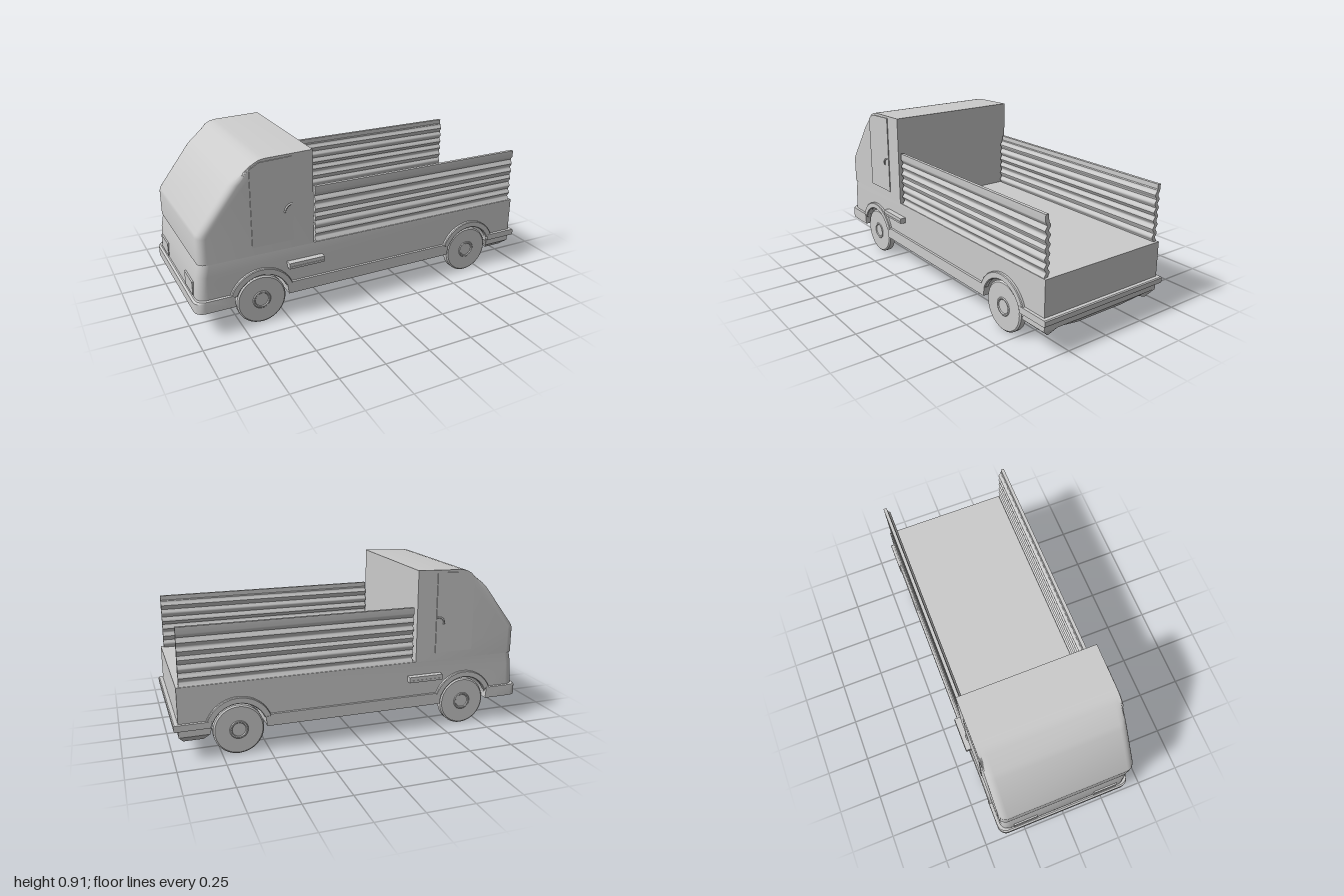
import * as THREE from 'three';
import { toCreasedNormals } from 'three/addons/utils/BufferGeometryUtils.js';

const mat = new THREE.MeshStandardMaterial({ color: 0xcccccc });
const WHEELS = [-0.64, 0.66], AXLE_Y = 0.137, ARCH = 0.15;

function add(parent, name, geo, x = 0, y = 0, z = 0) {
  const m = new THREE.Mesh(geo, mat);
  m.name = name;
  m.position.set(x, y, z);
  parent.add(m);
  return m;
}

const poly = (pts) => new THREE.Shape(pts.map(([x, y]) => new THREE.Vector2(x, y)));
const box = (w, h, d) => new THREE.BoxGeometry(w, h, d);

// Side profile swept across the width; corners ahead of noseX are rounded in plan
function sweep(shape, half, radius = 0, noseX = -9) {
  const n = 7, z = [];
  for (let i = 0; i < n; i++) z.push(half - radius + radius * Math.sin((i / (n - 1)) * Math.PI / 2));
  const levels = [...z.map((v) => -v).reverse(), ...z];
  const steps = levels.length - 1;
  const geo = new THREE.ExtrudeGeometry(shape, { depth: steps, steps, bevelEnabled: false, curveSegments: 20 });
  const p = geo.attributes.position;
  for (let i = 0; i < p.count; i++) {
    const w = levels[Math.round(p.getZ(i))];
    const d = Math.max(0, Math.abs(w) - half + radius);
    if (p.getX(i) < noseX) p.setX(i, p.getX(i) + radius - Math.sqrt(Math.max(0, radius * radius - d * d)));
    p.setZ(i, w);
  }
  return toCreasedNormals(geo, 0.5);
}

// Lower body with both wheel arches cut through
function bodyShape() {
  const s = new THREE.Shape();
  s.moveTo(-0.975, 0.145);
  for (const x of WHEELS) {
    s.lineTo(x - ARCH, 0.145);
    s.absarc(x, AXLE_Y, ARCH, Math.PI - 0.05, 0.05, true);
  }
  [[0.83, 0.165], [0.97, 0.165], [0.97, 0.4], [-0.955, 0.4], [-0.97, 0.33], [-0.978, 0.22]].forEach(([x, y]) => s.lineTo(x, y));
  s.closePath();
  return s;
}

// Corrugated side panel section, (z, y)
function panelShape() {
  const outer = [], inner = [], n = 44;
  for (let i = 0; i <= n; i++) {
    const y = 0.4 + 0.28 * i / n;
    const wave = 0.006 * Math.cos((y - 0.4) / 0.046 * Math.PI * 2);
    outer.push([0.376 + wave, y]);
    inner.push([0.354 + wave, y]);
  }
  return poly([...outer, [0.382, 0.685], [0.382, 0.71], [0.363, 0.71], [0.363, 0.685], ...inner.reverse()]);
}

function archTrim() {
  const s = new THREE.Shape();
  s.absarc(0, 0, 0.178, 0.35, Math.PI - 0.35, false);
  s.absarc(0, 0, ARCH, Math.PI - 0.4, 0.4, true);
  s.closePath();
  return toCreasedNormals(new THREE.ExtrudeGeometry(s, {
    depth: 0.02, bevelEnabled: true, bevelSize: 0.004, bevelThickness: 0.004, bevelSegments: 1, curveSegments: 24 }), 0.5);
}

// Tyre disc with a dished face and a raised hub ring
function wheelGeometry() {
  const pts = [[0, -0.022], [0.125, -0.022], [0.135, -0.015], [0.135, 0.015], [0.127, 0.022],
    [0.05, 0.022], [0.046, 0.026], [0.04, 0.026], [0.036, 0.021], [0, 0.021]];
  const g = new THREE.LatheGeometry(pts.map(([x, y]) => new THREE.Vector2(x, y)), 40);
  return toCreasedNormals(g.rotateX(Math.PI / 2), 0.5);
}

// Tapered block under the tail, built from three outlines
function tailBlock() {
  const rings = [
    [0.165, 0.8, 0.972, 0.385, 0],
    [0.13, 0.81, 0.97, 0.385, 0],
    [0.09, 0.84, 0.945, 0.34, 0.012],
  ];
  const zs = [-1, -0.79, -0.44, 0.44, 0.79, 1], pos = [], idx = [], n = zs.length * 2;
  for (const [y, x0, x1, half, sag] of rings) {
    const lift = (t) => y + (Math.abs(t) < 0.5 ? sag * 0.8 : Math.abs(t) < 0.9 ? sag * 2 : 0);
    zs.forEach((t) => pos.push(x0, lift(t), t * half));
    [...zs].reverse().forEach((t) => pos.push(x1, lift(t), t * half));
  }
  for (let r = 0; r < 2; r++) for (let i = 0; i < n; i++) {
    const a = r * n + i, b = r * n + (i + 1) % n;
    idx.push(a, a + n, b, b, a + n, b + n);
  }
  for (let i = 0; i < zs.length - 1; i++) {
    const a = 2 * n + i, d = 2 * n + n - 1 - i;
    idx.push(a, d, a + 1, a + 1, d, d - 1);
  }
  const g = new THREE.BufferGeometry();
  g.setAttribute('position', new THREE.Float32BufferAttribute(pos, 3));
  g.setIndex(idx);
  const flat = g.toNonIndexed();
  flat.computeVertexNormals();
  return flat;
}

export function createModel() {
  const truck = new THREE.Group();
  truck.name = 'truck';

  add(truck, 'lowerBody', sweep(bodyShape(), 0.386, 0.05, -0.85));

  // Cab
  add(truck, 'cab', sweep(poly([[-0.34, 0.4], [-0.34, 0.914], [-0.6, 0.906], [-0.63, 0.9], [-0.66, 0.885],
    [-0.755, 0.815], [-0.78, 0.79], [-0.955, 0.56], [-0.96, 0.54], [-0.96, 0.4]]), 0.39, 0.045, -0.7));

  // Skirt and bumpers
  add(truck, 'frontBumper', sweep(poly([[-0.785, 0.14], [-0.79, 0.205], [-0.985, 0.205], [-0.995, 0.195], [-0.995, 0.14]]), 0.403, 0.05, -0.9));
  add(truck, 'sideSkirt', sweep(poly([[-0.492, 0.14], [0.512, 0.14], [0.52, 0.205], [-0.5, 0.205]]), 0.4));
  add(truck, 'rearBumper', sweep(poly([[0.808, 0.17], [0.99, 0.17], [0.995, 0.178], [0.995, 0.2], [0.99, 0.205], [0.8, 0.205]]), 0.403));
  add(truck, 'tailBlock', tailBlock());

  const trim = archTrim(), wheel = wheelGeometry();
  const panel = new THREE.ExtrudeGeometry(panelShape(), { depth: 1.28, bevelEnabled: false });
  const panelGeo = toCreasedNormals(panel.rotateY(Math.PI / 2), 0.6);
  const doorGeo = new THREE.ExtrudeGeometry(poly([[-0.455, 0.445], [-0.455, 0.898], [-0.63, 0.89], [-0.68, 0.86], [-0.68, 0.445]]),
    { depth: 0.006, bevelEnabled: false });
  const handleCurve = new THREE.CatmullRomCurve3([[-0.5, 0.605, 0.394], [-0.498, 0.625, 0.4], [-0.485, 0.642, 0.401], [-0.46, 0.648, 0.394]]
    .map((p) => new THREE.Vector3(...p)));
  const handleGeo = new THREE.TubeGeometry(handleCurve, 12, 0.005, 8);

  for (const side of [1, -1]) {
    const g = new THREE.Group();
    g.name = side > 0 ? 'frontFacingSide' : 'rearFacingSide';
    truck.add(g);

    // Mirrored parts
    const half = new THREE.Group();
    half.name = 'sideParts';
    half.scale.z = side;
    g.add(half);
    add(half, 'door', doorGeo, 0, 0, 0.389);
    add(half, 'doorHandle', handleGeo);
    add(half, 'sideMarker', box(0.2, 0.032, 0.04), -0.393, 0.308, 0.4);
    add(half, 'sideMarkerRib', box(0.2, 0.008, 0.045), -0.393, 0.301, 0.4);
    add(half, 'headlight', box(0.016, 0.075, 0.14), -0.974, 0.25, 0.245);
    for (const x of WHEELS) add(half, 'archTrim', trim, x, AXLE_Y, 0.378);
    for (const x of WHEELS) add(half, 'wheel', wheel, x, 0.135, 0.363);

    // Corrugated panel along the bed: section x becomes -z after the turn
    const p = add(g, 'sidePanel', panelGeo, -0.325);
    if (side > 0) p.scale.z = -1;
  }

  // Axles and their struts
  for (const x of WHEELS) {
    add(truck, 'axle', new THREE.CylinderGeometry(0.02, 0.02, 0.7, 20).rotateX(Math.PI / 2), x, 0.135, 0);
    for (const z of [-0.27, 0.27]) {
      add(truck, 'axleStrut', box(0.02, 0.15, 0.02), x, 0.215, z);
      add(truck, 'axleCollar', new THREE.CylinderGeometry(0.025, 0.025, 0.03, 20).rotateX(Math.PI / 2), x, 0.135, z);
    }
  }
  return truck;
}
